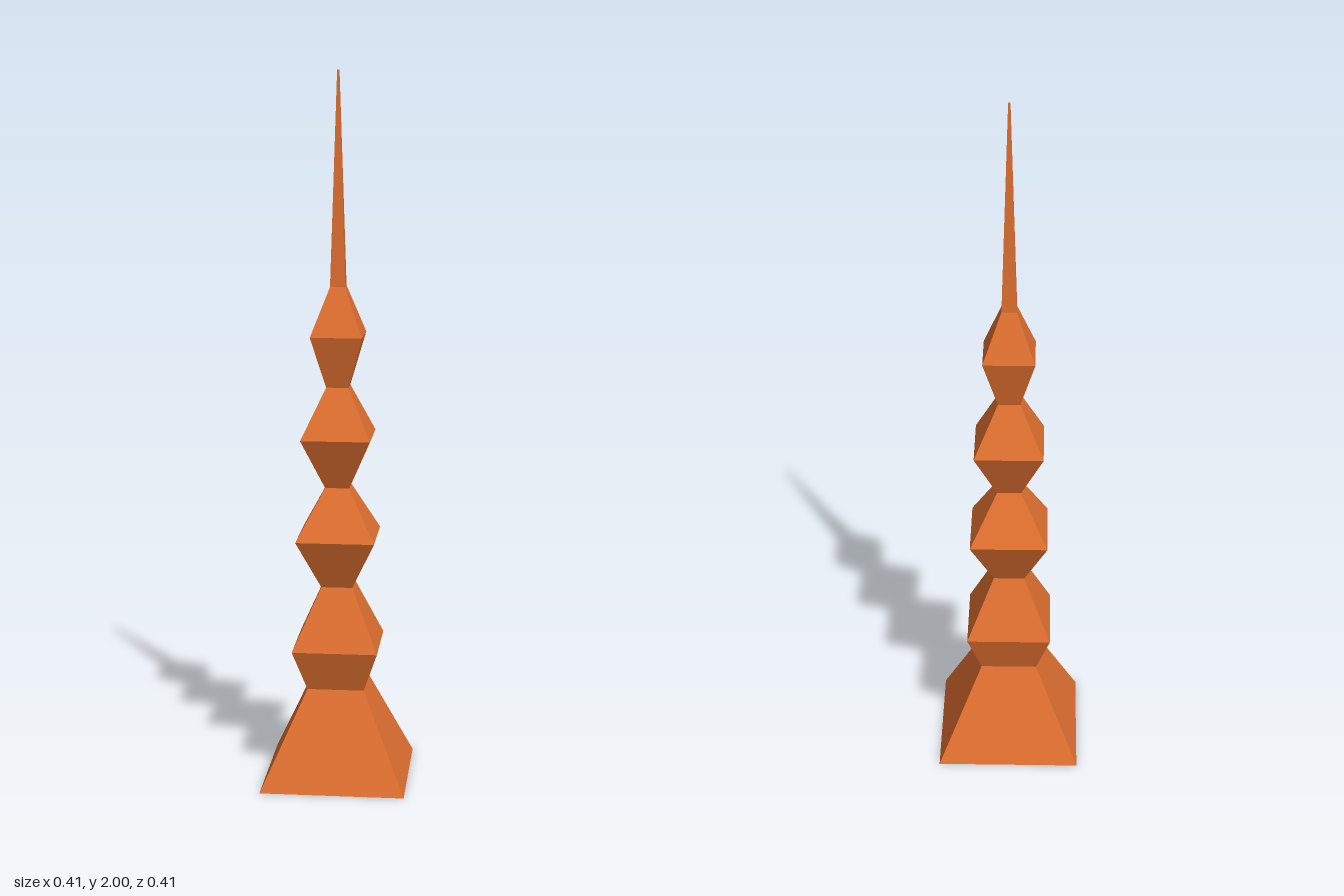
import * as THREE from 'three';

const material = new THREE.MeshStandardMaterial({
  color: 0xe07030, flatShading: true, side: THREE.DoubleSide,
});

// Open square section: profile of [half width, height] pairs, bottom to top
function squareSection(name, profile) {
  const points = profile.map(([half, y]) => new THREE.Vector2(half * Math.SQRT2, y));
  const mesh = new THREE.Mesh(new THREE.LatheGeometry(points, 4, Math.PI / 4), material);
  mesh.name = name;
  return mesh;
}

export function createModel() {
  const group = new THREE.Group();
  group.name = 'squareSpire';

  // Flared foot, hollow and open underneath
  group.add(squareSection('base', [[0.203, 0], [0.08, 0.27]]));

  // Stacked double pyramids: neck below, widest ring, neck above
  const segments = [
    [[0.08, 0.27], [0.12, 0.388], [0.044, 0.56]],
    [[0.044, 0.56], [0.11, 0.703], [0.034, 0.845]],
    [[0.034, 0.845], [0.097, 0.99], [0.031, 1.13]],
    [[0.031, 1.13], [0.072, 1.275], [0.021, 1.41]],
  ];
  segments.forEach((profile, i) => group.add(squareSection(`segment${i + 1}`, profile)));

  // Needle with a tiny flat tip
  group.add(squareSection('needle', [[0.021, 1.41], [0.003, 2], [0, 2]]));

  return group;
}
